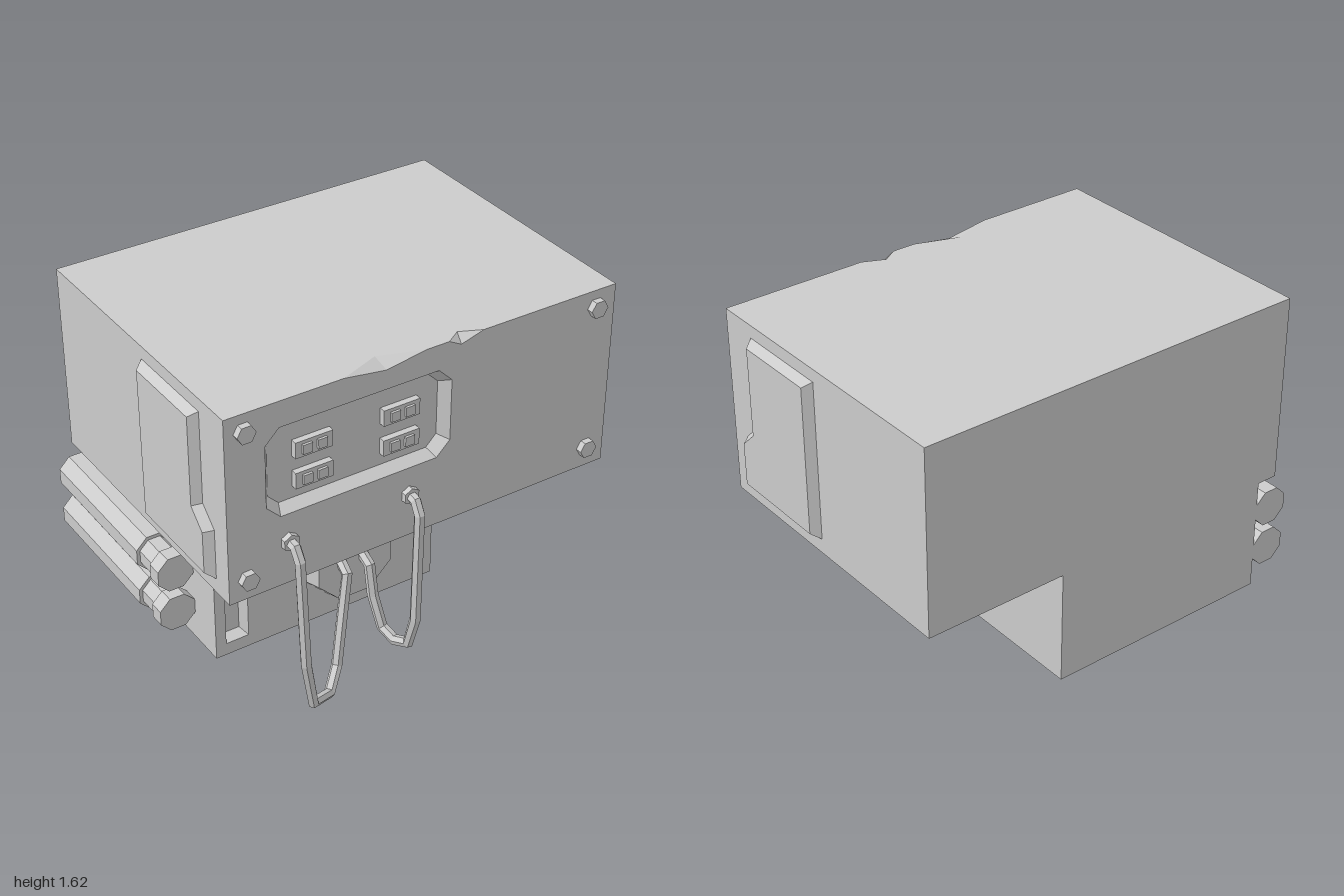
import * as THREE from 'three';

const mat = new THREE.MeshStandardMaterial({ color: 0xcccccc, flatShading: true });
const vecs = pts => pts.map(([x, y]) => new THREE.Vector2(x, y));

function add(parent, name, geometry, x = 0, y = 0, z = 0) {
  const mesh = new THREE.Mesh(geometry, mat);
  mesh.name = name;
  mesh.position.set(x, y, z);
  parent.add(mesh);
  return mesh;
}

function triangles(positions) {
  const g = new THREE.BufferGeometry();
  g.setAttribute('position', new THREE.Float32BufferAttribute(positions, 3));
  g.computeVertexNormals();
  return g;
}

// Flat sheet facing +z, with an optional hole
function sheet(outline, hole) {
  const shape = new THREE.Shape(vecs(outline));
  if (hole) shape.holes.push(new THREE.Path(vecs(hole)));
  return new THREE.ShapeGeometry(shape);
}

// Sloped rim from an outer loop (z = 0) to an inner loop (z = depth), closed by a flat face
function bevelled(parent, name, outer, inner, depth) {
  const group = new THREE.Group();
  group.name = name;
  const p = [];
  outer.forEach((a, i) => {
    const j = (i + 1) % outer.length;
    const b = outer[j], c = inner[j], d = inner[i];
    p.push(...a, 0, ...b, 0, ...c, depth, ...a, 0, ...c, depth, ...d, depth);
  });
  add(group, name + 'Rim', triangles(p));
  add(group, name + 'Face', sheet(inner), 0, 0, depth);
  parent.add(group);
  return group;
}

const rect = (x0, x1, y0, y1) => [[x0, y0], [x1, y0], [x1, y1], [x0, y1]];
const chamferedRect = (x0, x1, y0, y1, c) => [
  [x0 + c, y0], [x1 - c, y0], [x1, y0 + c], [x1, y1 - c],
  [x1 - c, y1], [x0 + c, y1], [x0, y1 - c], [x0, y0 + c]];

// Box without the listed faces (0 +x, 1 -x, 2 +y, 3 -y, 4 +z, 5 -z)
function openBox(w, h, d, skip) {
  const g = new THREE.BoxGeometry(w, h, d);
  g.setIndex([...g.index.array].filter((_, i) => !skip.includes(Math.floor(i / 6))));
  g.clearGroups();
  return g;
}

// Cylinder lying along z; a flat side faces up when turned by half a step
function rod(rFront, rBack, length, sides, turn = 0) {
  return new THREE.CylinderGeometry(rFront, rBack, length, sides).rotateY(turn).rotateX(Math.PI / 2);
}

// Path with sharp bends, one tube ring per point
class Polyline extends THREE.Curve {
  constructor(points) {
    super();
    this.points = points.map(p => new THREE.Vector3(...p));
  }
  index(u) { return Math.round(u * (this.points.length - 1)); }
  getPoint(u, target = new THREE.Vector3()) { return target.copy(this.points[this.index(u)]); }
  getPointAt(u, target) { return this.getPoint(u, target); }
  getTangentAt(u, target = new THREE.Vector3()) {
    const i = this.index(u), p = this.points, q = p[i];
    target.set(0, 0, 0);
    if (i > 0) target.add(q.clone().sub(p[i - 1]).normalize());
    if (i < p.length - 1) target.add(p[i + 1].clone().sub(q).normalize());
    return target.normalize();
  }
}

export function createModel() {
  const model = new THREE.Group();
  model.name = 'controlUnit';

  // Upper housing, its front and top edge chipped in two places
  const top = 1.62, front = 0.64;
  const chips = [
    { l: -0.39, r: 0, low: [-0.19, 1.59], back: [-0.2, 0.57] },
    { l: 0.11, r: 0.28, low: [0.17, 1.588], back: [0.18, 0.595] }];
  const screenOuter = chamferedRect(-0.75, 0.13, 1.08, 1.5, 0.065);
  const screenInner = chamferedRect(-0.715, 0.095, 1.11, 1.465, 0.05);
  const upper = new THREE.Group();
  upper.name = 'upperHousing';
  model.add(upper);
  add(upper, 'upperShell', openBox(1.89, 0.88, 1.38, [2, 4]), 0.015, 1.18, -0.05);

  const frontEdge = chips.flatMap(c => [[c.l, top], c.low, [c.r, top]]).reverse();
  add(upper, 'upperFront', sheet(
    [[-0.93, 0.74], [0.96, 0.74], [0.96, top], ...frontEdge, [-0.93, top]], screenOuter), 0, 0, front);
  const topEdge = chips.flatMap(c => [[c.l, -front], [c.back[0], -c.back[1]], [c.r, -front]]);
  add(upper, 'upperTop', sheet(
    [[-0.93, -front], ...topEdge, [0.96, -front], [0.96, 0.74], [-0.93, 0.74]]).rotateX(-Math.PI / 2), 0, top, 0);
  for (const c of chips) {
    const L = [c.l, top, front], F = [...c.low, front], R = [c.r, top, front], B = [c.back[0], top, c.back[1]];
    add(upper, 'edgeChip', triangles([...L, ...F, ...B, ...F, ...R, ...B]));
  }

  // Recessed display with four button blocks
  bevelled(upper, 'displayRecess', screenOuter, screenInner, -0.05).position.z = front;
  for (const x of [-0.513, -0.097]) for (const y of [1.203, 1.347]) {
    add(upper, 'buttonBlock', new THREE.BoxGeometry(0.175, 0.075, 0.03), x, y, 0.604);
    for (const s of [-1, 1])
      add(upper, 'button', new THREE.BoxGeometry(0.044, 0.044, 0.012), x + s * 0.035, y, 0.624);
  }

  // Corner bolts
  for (const x of [-0.845, 0.86]) for (const y of [0.84, 1.54])
    add(upper, 'bolt', rod(0.043, 0.043, 0.03, 6, x * 0.6), x, y, 0.655);

  // Raised side panels with a stepped front edge (first coordinate is -z)
  const panelOuter = [[-0.54, 0.81], [0, 0.81], [0, 1.56], [-0.455, 1.56], [-0.455, 1.13], [-0.54, 1.05]];
  const panelInner = [[-0.513, 0.838], [-0.028, 0.838], [-0.028, 1.535], [-0.43, 1.535], [-0.43, 1.117], [-0.513, 1.038]];
  for (const s of [1, -1]) {
    const flip = pts => s > 0 ? pts : pts.map(([x, y]) => [-x, y]).reverse();
    const panel = bevelled(upper, s > 0 ? 'leftPanel' : 'rightPanel', flip(panelOuter), flip(panelInner), 0.04);
    panel.rotation.y = s * Math.PI / 2;
    panel.position.x = 0.015 + s * 0.945;
  }

  // Lower housing with a narrow recessed slot
  const lower = new THREE.Group();
  lower.name = 'lowerHousing';
  model.add(lower);
  const slot = rect(-0.78, -0.67, 0.26, 0.7);
  add(lower, 'lowerShell', openBox(1.11, 0.54, 1.07, [4]), -0.275, 0.47, -0.205);
  add(lower, 'lowerFront', sheet(rect(-0.83, 0.28, 0.2, 0.74), slot), 0, 0, 0.33);
  bevelled(lower, 'slotRecess', slot, rect(-0.762, -0.688, 0.278, 0.685), -0.05).position.z = 0.33;

  // Octagonal connector plate
  add(lower, 'connectorPlate', rod(0.2, 0.223, 0.085, 8, Math.PI / 8), -0.182, 0.515, 0.3725);

  // Side canisters with a necked collar
  for (const y of [0.375, 0.585]) {
    const canister = new THREE.Group();
    canister.name = 'canister';
    canister.position.set(-0.914, y, 0);
    for (const [name, r, z0, z1] of [['body', 0.093, -0.74, -0.02], ['neck', 0.076, -0.02, 0.09], ['cap', 0.09, 0.09, 0.16]])
      add(canister, name, rod(r, r, z1 - z0, 8, Math.PI / 8), 0, 0, (z0 + z1) / 2);
    model.add(canister);
  }

  // Hanging cables and their sockets
  const cables = [
    [[-0.65, 0.95, 0.64], [-0.65, 0.945, 0.69], [-0.648, 0.89, 0.72], [-0.625, 0.35, 0.72], [-0.57, 0.09, 0.685],
      [-0.44, 0.026, 0.608], [-0.355, 0.09, 0.535], [-0.29, 0.35, 0.485], [-0.257, 0.5, 0.465], [-0.25, 0.53, 0.4]],
    [[-0.07, 0.95, 0.64], [-0.07, 0.945, 0.69], [-0.07, 0.89, 0.72], [-0.078, 0.35, 0.72], [-0.088, 0.2, 0.685],
      [-0.105, 0.17, 0.608], [-0.12, 0.2, 0.535], [-0.137, 0.35, 0.485], [-0.142, 0.5, 0.465], [-0.142, 0.53, 0.4]]];
  for (const path of cables) {
    add(model, 'cable', new THREE.TubeGeometry(new Polyline(path), path.length - 1, 0.025, 6));
    add(model, 'cableSocket', rod(0.04, 0.04, 0.025, 6), path[0][0], 0.95, 0.6525);
  }
  return model;
}
